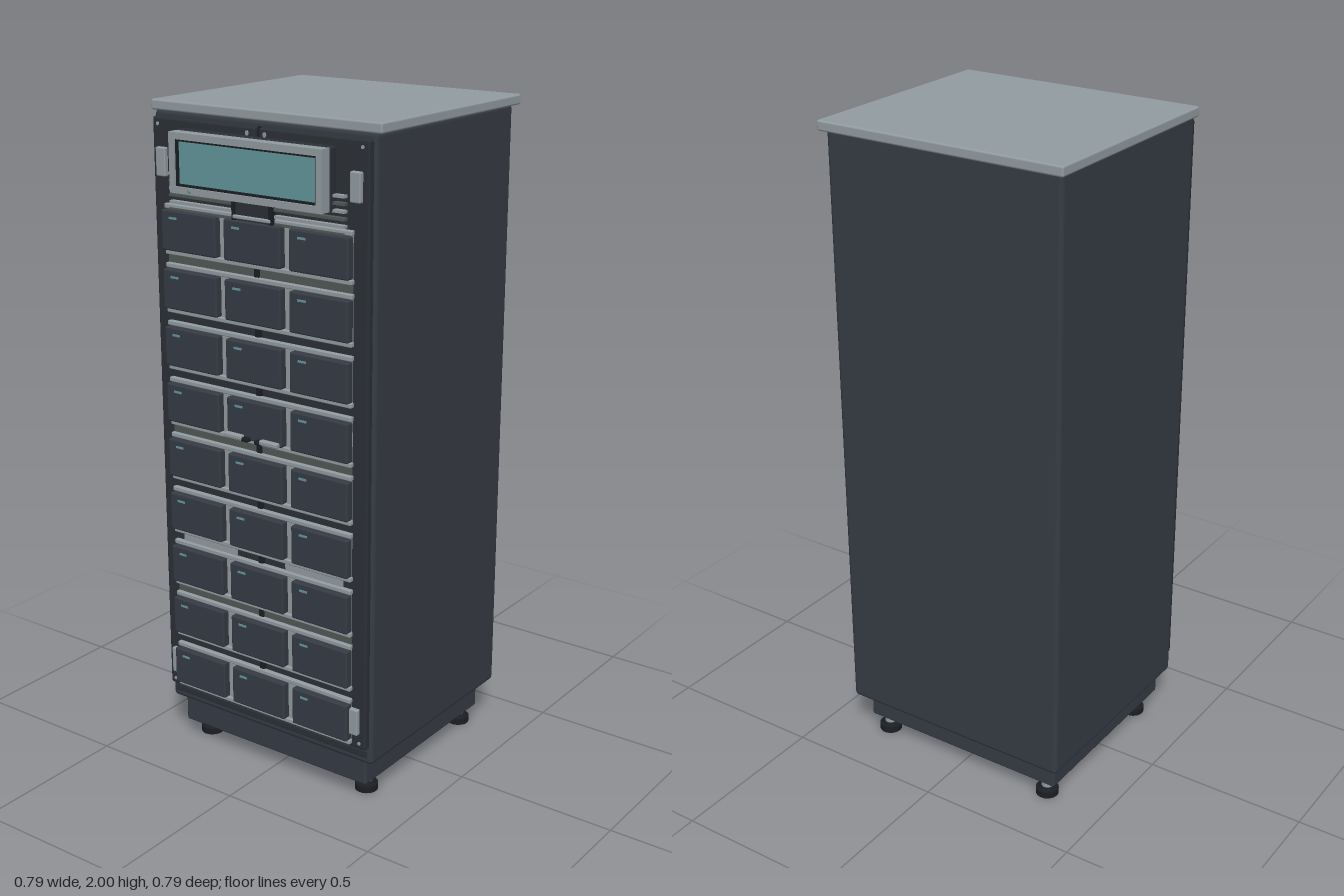
import * as THREE from 'three';
import { RoundedBoxGeometry } from 'three/addons/geometries/RoundedBoxGeometry.js';

const mat = (name, color) => {
  const m = new THREE.MeshStandardMaterial({ color });
  m.name = name;
  return m;
};

export function createModel() {
  const root = new THREE.Group();
  root.name = 'batteryCabinet';
  const M = {
    body: mat('charcoal', 0x363b44),
    door: mat('dark door', 0x2b3037),
    black: mat('near black', 0x1b1e22),
    grey: mat('light grey', 0x929ca1),
    filler: mat('filler grey', 0x505856),
    screen: mat('teal screen', 0x62969c),
  };

  // Box from its limits; r > 0 rounds the edges
  function box(name, m, x0, x1, y0, y1, z0, z1, r = 0, parent = root) {
    const w = x1 - x0, h = y1 - y0, d = z1 - z0;
    const g = r ? new RoundedBoxGeometry(w, h, d, 2, r) : new THREE.BoxGeometry(w, h, d);
    const mesh = new THREE.Mesh(g, m);
    mesh.position.set((x0 + x1) / 2, (y0 + y1) / 2, (z0 + z1) / 2);
    mesh.name = name;
    parent.add(mesh);
    return mesh;
  }
  function cyl(name, m, r0, r1, h, x, y, z, front = false) {
    const mesh = new THREE.Mesh(new THREE.CylinderGeometry(r0, r1, h, 24), m);
    mesh.position.set(x, y, z);
    if (front) mesh.rotation.x = Math.PI / 2;
    mesh.name = name;
    root.add(mesh);
  }
  // Both sides of a mirrored box
  function pair(name, m, x0, x1, ...rest) {
    box(name + 'Left', m, x0, x1, ...rest);
    box(name + 'Right', m, -x1, -x0, ...rest);
  }

  // Cabinet shell, lid and plinth
  box('cabinetBody', M.body, -0.38, 0.38, 0.14, 1.975, -0.375, 0.312, 0.014);
  box('lid', M.grey, -0.394, 0.394, 1.97, 2, -0.395, 0.31, 0.006);
  box('plinth', M.body, -0.345, 0.345, 0.055, 0.145, -0.33, 0.29, 0.006);

  // Levelling feet
  for (const x of [-0.3, 0.3]) {
    for (const z of [0.22, -0.295]) {
      cyl('footPad', M.black, 0.035, 0.035, 0.02, x, 0.01, z);
      cyl('footCollar', M.black, 0.02, 0.03, 0.008, x, 0.024, z);
      cyl('footStem', M.grey, 0.018, 0.018, 0.04, x, 0.042, z);
    }
  }

  // Double doors and kick strip
  pair('door', M.door, 0.006, 0.371, 0.195, 1.957, 0.305, 0.331, 0.008);
  box('doorSeam', M.black, -0.006, 0.006, 0.195, 1.957, 0.31, 0.316);
  box('kickStrip', M.door, -0.365, 0.365, 0.165, 0.188, 0.305, 0.318, 0.004);

  // Door corner screws
  for (const x of [-0.35, -0.03, 0.03, 0.35])
    for (const y of [0.215, 1.937]) cyl('doorScrew', M.grey, 0.005, 0.005, 0.004, x, y, 0.332, true);

  // Hinge blocks
  for (const y of [0.285, 1.833])
    pair('hinge', M.grey, 0.317, 0.351, y - 0.041, y + 0.041, 0.325, 0.345, 0.004);

  // Nine shelves of three battery modules
  const pitch = 0.1705, firstRow = 0.281;
  for (let i = 0; i < 9; i++) {
    const shelf = new THREE.Group();
    shelf.name = 'batteryShelf' + (i + 1);
    shelf.position.y = firstRow + i * pitch;
    root.add(shelf);
    box('shelfPlate', M.grey, -0.322, 0.322, -0.06, 0.06, 0.329, 0.336, 0, shelf);
    for (const s of [-1, 1])
      box('shelfRail', M.grey, -0.325, 0.325, s * 0.066 - 0.007, s * 0.066 + 0.007, 0.329, 0.345, 0.003, shelf);
    for (const x of [-0.226, 0, 0.226]) {
      box('batteryModule', M.body, x - 0.098, x + 0.098, -0.058, 0.058, 0.333, 0.36, 0.005, shelf);
      box('moduleIndicator', M.screen, x - 0.067, x - 0.04, 0.034, 0.04, 0.358, 0.3625, 0, shelf);
    }
  }
  // Spacers and latches between the shelves
  for (let i = 0; i < 8; i++) {
    const y = firstRow + (i + 0.5) * pitch;
    if (i % 3 === 1) box('spacerStrip', M.filler, -0.322, 0.322, y - 0.012, y + 0.012, 0.329, 0.334);
    box('doorLatch', M.black, -0.009, 0.009, y - 0.013, y + 0.013, 0.325, 0.339, 0.003);
  }
  // Pale label plates and door pulls
  pair('labelPlate', M.grey, 0.09, 0.293, 0.696, 0.722, 0.329, 0.337);
  pair('doorPull', M.grey, 0.032, 0.095, 1.078, 1.092, 0.362, 0.38, 0.004);
  pair('pullPost', M.black, 0.012, 0.036, 1.074, 1.086, 0.355, 0.376, 0.003);

  // Louvres below the display
  for (let k = 0; k < 6; k++) {
    const y = 1.705 + k * 0.02;
    pair('louvre', k % 2 ? M.grey : M.filler, 0.07, 0.302, y - 0.004, y + 0.004, 0.329, 0.347);
  }
  // Centre lock below the display
  box('lockHousing', M.door, -0.068, 0.068, 1.7, 1.765, 0.329, 0.352, 0.004);
  box('lockBar', M.grey, -0.065, 0.065, 1.708, 1.718, 0.345, 0.36, 0.003);
  pair('lockPost', M.black, 0.058, 0.07, 1.7, 1.765, 0.34, 0.356);

  // Display: dark mount, grey bezel ring, recessed screen
  const ring = (name, m, w, h, b, z, d) => {
    const s = new THREE.Shape();
    s.moveTo(-w, -h).lineTo(w, -h).lineTo(w, h).lineTo(-w, h).closePath();
    const hole = new THREE.Path();
    hole.moveTo(b - w, b - h).lineTo(b - w, h - b).lineTo(w - b, h - b).lineTo(w - b, b - h).closePath();
    s.holes.push(hole);
    const mesh = new THREE.Mesh(new THREE.ExtrudeGeometry(s, { depth: d, bevelEnabled: false }), m);
    mesh.position.set(0, 1.846, z);
    mesh.name = name;
    root.add(mesh);
  };
  box('displayMount', M.door, -0.265, 0.265, 1.762, 1.932, 0.325, 0.356, 0.005);
  ring('displayBezel', M.grey, 0.261, 0.084, 0.019, 0.354, 0.036);
  ring('displayGasket', M.black, 0.243, 0.066, 0.007, 0.354, 0.03);
  box('displayScreen', M.screen, -0.237, 0.237, 1.786, 1.906, 0.356, 0.376);
  cyl('displayButton', M.screen, 0.005, 0.005, 0.006, -0.19, 1.771, 0.391, true);

  // Top latch pins
  for (const x of [-0.03, 0.03]) cyl('topPin', M.grey, 0.004, 0.004, 0.008, x, 1.942, 0.332, true);

  return root;
}
